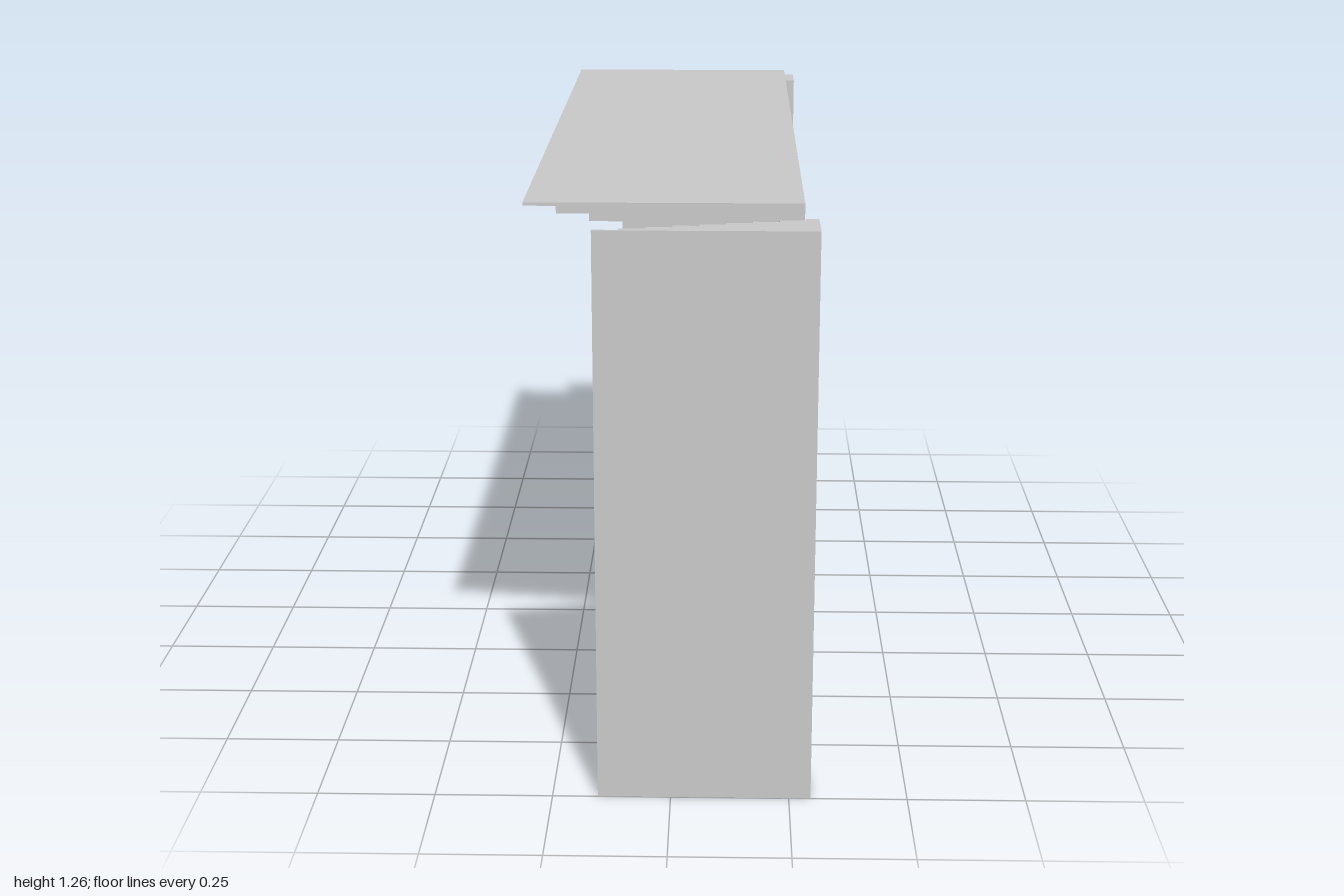
import * as THREE from 'three';

const material = new THREE.MeshStandardMaterial({ color: 0xcccccc, flatShading: true });

// Stepped wedge outline: flat along y = 0, thickening towards +x.
// Eight full steps and a final half step; sign sets the side of the thickness.
function steppedWedge(x0, x1, thin, thick, sign) {
  const steps = 9;
  const run = (x1 - x0) / (steps - 0.5);
  const shape = new THREE.Shape();
  shape.moveTo(x0, 0);
  for (let i = 0; i < steps; i++) {
    const y = sign * (thin + ((thick - thin) * i) / (steps - 1));
    shape.lineTo(x0 + run * i, y);
    shape.lineTo(Math.min(x0 + run * (i + 1), x1), y);
  }
  shape.lineTo(x1, 0);
  shape.closePath();
  return shape;
}

function extrude(shape, depth) {
  return new THREE.ExtrudeGeometry(shape, { depth, bevelEnabled: false });
}

export function createModel() {
  const group = new THREE.Group();

  // Table top: smooth above, stepped underneath
  const topLength = 1.765;
  const top = new THREE.Mesh(
    extrude(steppedWedge(-0.298, 0.268, 0.007, 0.131, -1), topLength), material);
  top.name = 'tableTop';
  top.position.set(0, 1.257, -topLength / 2);
  group.add(top);

  // Legs: smooth outside, stepped inside, mirrored front to back
  for (const side of [1, -1]) {
    const geometry = extrude(steppedWedge(-0.154, 0.296, 0.006, 0.11, side), 1.227);
    geometry.rotateX(-Math.PI / 2);
    const leg = new THREE.Mesh(geometry, material);
    leg.name = side > 0 ? 'frontLeg' : 'backLeg';
    leg.position.z = side;
    group.add(leg);
  }

  return group;
}
